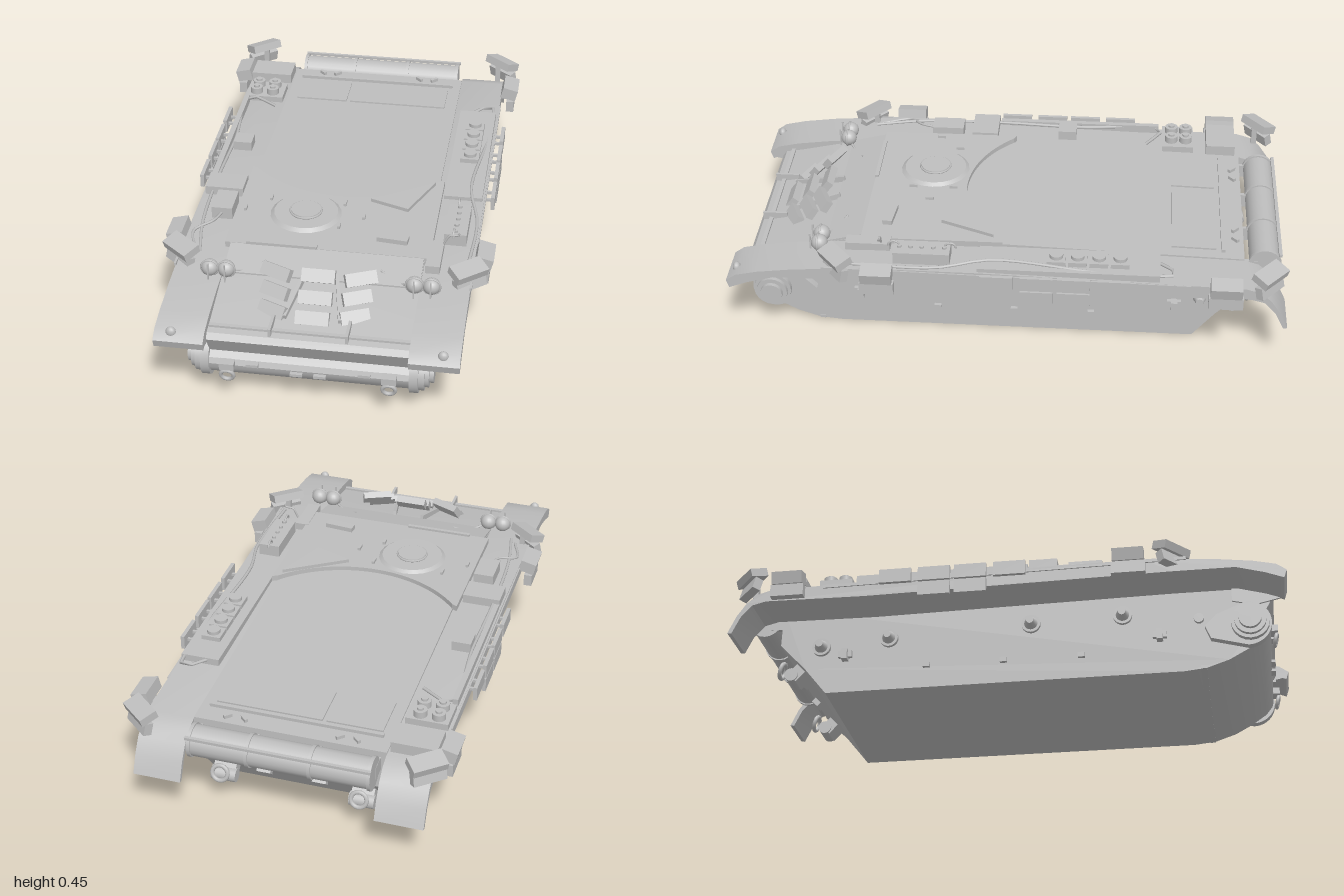
import * as THREE from 'three';
import { toCreasedNormals } from 'three/addons/utils/BufferGeometryUtils.js';

export function createModel() {
  const model = new THREE.Group();
  model.name = 'trackedHull';
  const steel = new THREE.MeshStandardMaterial({ color: 0xbebebe });
  steel.name = 'plain grey steel';

  const add = (name, geo, x = 0, y = 0, z = 0, rx = 0, ry = 0, rz = 0) => {
    const m = new THREE.Mesh(geo, steel);
    m.name = name;
    m.position.set(x, y, z);
    m.rotation.set(rx, ry, rz, 'YXZ');
    model.add(m);
    return m;
  };
  const box = (name, w, h, d, ...pose) => add(name, new THREE.BoxGeometry(w, h, d), ...pose);
  const cyl = (name, r0, r1, h, ...pose) => add(name, new THREE.CylinderGeometry(r0, r1, h, 20), ...pose);
  // side profile of [z, y] points, extruded across x
  const acrossX = (name, pts, x0, x1) => {
    const shape = new THREE.Shape(pts.map(([z, y]) => new THREE.Vector2(z, y)));
    const g = new THREE.ExtrudeGeometry(shape, { depth: x1 - x0, bevelEnabled: false });
    g.rotateY(-Math.PI / 2).translate(x1, 0, 0);
    return add(name, toCreasedNormals(g, 0.5));
  };
  // plan shape drawn in (x, -z), extruded upward
  const upward = (name, shape, h, y, rx = 0) => {
    const g = new THREE.ExtrudeGeometry(shape, { depth: h, bevelEnabled: false, curveSegments: 24 });
    return add(name, g.rotateX(-Math.PI / 2), 0, y, 0, rx);
  };
  const tube = (name, pts, r) => add(name, new THREE.TubeGeometry(
    new THREE.CatmullRomCurve3(pts.map(p => new THREE.Vector3(...p))), 24, r, 6));
  const bothSides = fn => [1, -1].forEach(fn);

  // Main body: belly, rounded nose, glacis, engine deck and sloped stern
  acrossX('hull', [[-0.67, 0], [0.62, 0], [0.7, 0.008], [0.78, 0.035], [0.85, 0.073], [0.9, 0.108],
    [0.925, 0.14], [0.93, 0.16], [0.922, 0.18], [0.9, 0.197], [0.905, 0.2], [0.945, 0.27], [0.93, 0.29],
    [0.87, 0.3], [0.53, 0.376], [0.4, 0.378], [0.1, 0.372], [-0.84, 0.347], [-0.845, 0.2], [-0.75, 0.1]], -0.342, 0.342);
  box('noseLowerStrip', 0.69, 0.012, 0.02, 0, 0.012, 0.69);
  box('bowRail', 0.68, 0.008, 0.015, 0, 0.3, 0.9);
  acrossX('glacisUpperPlate', [[0.53, 0.368], [0.66, 0.345], [0.66, 0.353], [0.53, 0.386]], -0.34, 0.34);

  // Raised fighting deck with the turret ring arc cut from its rear
  const front = new THREE.Shape();
  front.moveTo(-0.36, -0.53);
  front.lineTo(0.36, -0.53);
  front.lineTo(0.36, -0.02);
  const a = Math.asin(0.34 / 0.46);
  front.absarc(0, 0.28, 0.46, -Math.PI / 2 + a, -Math.PI / 2 - a, true);
  front.lineTo(-0.36, -0.02);
  upward('frontDeck', front, 0.022, 0.368, 0.005);

  // Fender sponsons with front lips and curved rear mudguards
  bothSides(s => {
    acrossX(s > 0 ? 'leftSponson' : 'rightSponson', [[0.985, 0.255], [0.995, 0.285], [0.96, 0.31], [0.88, 0.328],
      [0.75, 0.345], [0.5, 0.362], [0.1, 0.362], [-0.84, 0.342], [-0.89, 0.328], [-0.93, 0.295], [-0.965, 0.245],
      [-0.995, 0.18], [-0.98, 0.178], [-0.95, 0.24], [-0.91, 0.285], [-0.86, 0.298], [-0.5, 0.293], [0.6, 0.308],
      [0.82, 0.308], [0.92, 0.28]], s > 0 ? 0.342 : -0.512, s > 0 ? 0.512 : -0.342);
    acrossX('fenderInnerGusset', [[0.97, 0.26], [0.97, 0.3], [0.8, 0.31], [0.8, 0.26], [0.88, 0.24]],
      s > 0 ? 0.342 : -0.35, s > 0 ? 0.35 : -0.342);
    box('fenderEdge', 0.008, 0.012, 1.3, s * 0.513, 0.348, 0, -0.012);
    const lamp = add('positionLamp', new THREE.SphereGeometry(0.018, 12, 8), s * 0.455, 0.305, 0.965);
    lamp.scale.set(1, 1.1, 0.8);

    // Final drive: teardrop housing and stepped hub
    acrossX('finalDriveHousing', Array.from({ length: 25 }, (_, i) => {
      const t = -Math.PI / 2 + i / 24 * Math.PI;
      return [0.85 + 0.085 * Math.cos(t), 0.16 + 0.085 * Math.sin(t)];
    }).concat([[0.74, 0.2], [0.7, 0.16], [0.72, 0.11]]), s > 0 ? 0.34 : -0.37, s > 0 ? 0.37 : -0.34);
    [[0.068, 0.39], [0.056, 0.405], [0.04, 0.42]].forEach(([r, x]) =>
      cyl('finalDriveHub', r, r, 0.05, s * (x - 0.025), 0.16, 0.86, 0, 0, Math.PI / 2));

    // Running gear mounts
    [[0.41, 0.23], [0.08, 0.22], [-0.44, 0.2], [-0.69, 0.18]].forEach(([z, y]) => {
      cyl('bumpStopBase', 0.034, 0.034, 0.02, s * 0.345, y, z, 0, 0, Math.PI / 2);
      cyl('bumpStopCone', 0.013, 0.028, 0.04, s * 0.365, y, z, 0, 0, -s * Math.PI / 2);
    });
    cyl('rollerMount', 0.018, 0.018, 0.02, s * 0.345, 0.2, 0.68, 0, 0, Math.PI / 2);
    [0.54, -0.6].forEach(z => {
      box('damperMount', 0.02, 0.025, 0.05, s * 0.348, 0.145, z);
      box('damperLug', 0.035, 0.04, 0.022, s * 0.355, 0.14, z);
    });
    [0.26, -0.02, -0.3].forEach(z => box('sideLug', 0.018, 0.018, 0.025, s * 0.347, 0.085, z));

    // Tow shackles, bow and stern
    box('bowHook', 0.05, 0.025, 0.04, s * 0.275, 0.168, 0.935);
    add('bowShackle', new THREE.TorusGeometry(0.022, 0.007, 8, 16), s * 0.275, 0.13, 0.945, 0.25);
    box('sternHookBase', 0.08, 0.07, 0.045, s * 0.25, 0.12, -0.79, 0.75);
    cyl('sternHookPin', 0.025, 0.025, 0.09, s * 0.25, 0.105, -0.815, 0, 0, Math.PI / 2);
    add('sternShackle', new THREE.TorusGeometry(0.028, 0.008, 8, 16), s * 0.25, 0.14, -0.86, 0.3);

    // Stacked armour tiles at the corners and flanks
    [[0.6, s * 0.7], [-0.92, Math.PI - s * 0.7]].forEach(([z, ry]) => {
      box('cornerTileLower', 0.12, 0.045, 0.03, s * 0.505, 0.352, z, -0.25, ry);
      box('cornerTileUpper', 0.125, 0.03, 0.065, s * 0.5, 0.4, z, 0.3, ry);
      box('cornerTilePost', 0.02, 0.07, 0.02, s * 0.485, 0.36, z - Math.sign(z) * 0.015);
    });
    [0.45, -0.77].forEach(z => {
      box('flankTileLower', 0.03, 0.045, 0.12, s * 0.55, 0.312, z);
      box('flankTileUpper', 0.06, 0.045, 0.11, s * 0.545, 0.365, z, 0, 0, -s * 0.25);
      box('flankTileArm', 0.05, 0.015, 0.03, s * 0.52, 0.33, z);
    });
    [0.03, -0.11, -0.24, -0.38].forEach((z, i) => {
      box('sidePlateUpper', 0.014, 0.052, 0.115, s * 0.543, 0.348, z);
      if (i === 1 || i === 2) box('sidePlateLower', 0.014, 0.052, 0.115, s * 0.543, 0.29, z);
      [-0.025, 0.025].forEach(dz => box('sidePlateArm', 0.04, 0.01, 0.01, s * 0.522, 0.345, z + dz));
    });

    // Headlight pairs with guards
    [0.325, 0.383].forEach(x => {
      add('headlight', new THREE.SphereGeometry(0.03, 18, 12), s * x, 0.376, 0.675);
      add('headlightRim', new THREE.TorusGeometry(0.03, 0.004, 6, 20), s * x, 0.376, 0.68);
      box('headlightGuard', 0.005, 0.07, 0.006, s * x, 0.376, 0.708);
      cyl('headlightPost', 0.01, 0.01, 0.05, s * x, 0.345, 0.67);
    });
    tube('headlightCable', [[s * 0.3, 0.36, 0.66], [s * 0.25, 0.35, 0.63], [s * 0.2, 0.37, 0.6]], 0.004);

    // Glacis armour tiles fanned either side of the centre stack
    [[0.145, 0.398, 0.7, 0.11], [0.14, 0.358, 0.755, 0.1], [0.14, 0.318, 0.81, 0.1]].forEach(([x, y, z, w]) =>
      box('glacisTile', w, 0.045, 0.026, s * x, y, z, -0.65, s * 0.42));
    box('glacisTileBracket', 0.012, 0.025, 0.2, s * 0.075, 0.335, 0.745, 0.25, s * 0.2);
    box('bowBracket', 0.01, 0.03, 0.09, s * 0.13, 0.308, 0.885);
    [0.19, 0.04].forEach(x => box('bowStep', 0.042, 0.01, 0.025, s * x, x > 0.1 ? 0.172 : 0.15, 0.93));
  });
  [[0.395, 0.7], [0.353, 0.77], [0.315, 0.835]].forEach(([y, z]) =>
    box('glacisTile', 0.115, 0.046, 0.028, 0, y, z, -0.65));

  // Driver's hatch and deck fittings
  cyl('hatchPlinth', 0.115, 0.13, 0.012, -0.11, 0.393, 0.31);
  cyl('hatchLid', 0.054, 0.056, 0.012, -0.11, 0.402, 0.31);
  add('hatchSeal', new THREE.TorusGeometry(0.056, 0.004, 6, 28), -0.11, 0.402, 0.31, Math.PI / 2);
  box('hatchPeriscope', 0.11, 0.02, 0.035, 0.22, 0.395, 0.44, 0, -0.1);
  box('deckTool', 0.25, 0.012, 0.014, -0.16, 0.39, 0.525);
  const wedge = new THREE.Shape([[0.11, -0.2], [0.25, -0.25], [0.33, -0.055]].map(p => new THREE.Vector2(...p)));
  upward('triangularCover', wedge, 0.014, 0.388);
  [[-0.33, 0.31], [0.02, 0.23], [0.02, 0.38], [0.1, 0.31], [-0.25, 0.23]].forEach(([x, z]) =>
    box('deckLug', 0.01, 0.014, 0.03, x, 0.392, z));

  // Engine deck: access panels and rear hinge bar
  box('engineDeckPanel', 0.38, 0.006, 0.16, 0.105, 0.355, -0.66, -0.026);
  box('engineDeckPanel', 0.2, 0.006, 0.16, -0.2, 0.355, -0.66, -0.026);
  box('hingeBar', 0.62, 0.012, 0.014, 0, 0.357, -0.765);
  [-0.2, 0.2].forEach(x => [-0.03, 0.03].forEach(d =>
    box('deckHinge', 0.03, 0.012, 0.012, x + d, 0.355, -0.81, 0, d * 25)));

  // Stowage on the model's right fender (-x)
  box('rearStowageBox', 0.16, 0.045, 0.11, -0.43, 0.36, -0.77);
  box('launcherTray', 0.15, 0.025, 0.12, -0.43, 0.358, -0.605);
  [-0.465, -0.4].forEach(x => [-0.635, -0.58].forEach(z => {
    cyl('canister', 0.024, 0.024, 0.03, x, 0.38, z);
    cyl('canisterCap', 0.012, 0.012, 0.01, x, 0.398, z);
  }));
  box('smallFenderBox', 0.07, 0.04, 0.07, -0.435, 0.372, -0.175);
  box('midStowageBox', 0.14, 0.04, 0.1, -0.435, 0.375, 0.145);
  box('toolBox', 0.075, 0.045, 0.12, -0.41, 0.385, 0.29);
  box('sideRail', 0.02, 0.03, 0.62, -0.495, 0.365, -0.22);
  tube('towCable', [[-0.37, 0.368, -0.48], [-0.48, 0.37, -0.54], [-0.475, 0.37, -0.2], [-0.48, 0.375, 0.1],
    [-0.47, 0.375, 0.4], [-0.44, 0.37, 0.58]], 0.006);
  tube('fenderConduit', [[-0.41, 0.385, 0.34], [-0.43, 0.385, 0.4], [-0.49, 0.37, 0.45], [-0.46, 0.365, 0.56]], 0.005);

  // Stowage on the model's left fender (+x)
  box('longStowageBin', 0.14, 0.026, 0.64, 0.435, 0.363, -0.22);
  [-0.4, -0.325, -0.25, -0.175].forEach(z => {
    box('dischargerBase', 0.07, 0.022, 0.066, 0.435, 0.382, z);
    cyl('dischargerCup', 0.024, 0.024, 0.02, 0.435, 0.396, z);
  });
  box('batteryBox', 0.08, 0.045, 0.2, 0.435, 0.385, 0.3);
  [0.22, 0.26, 0.3, 0.34, 0.38].forEach(z => cyl('batteryBolt', 0.008, 0.008, 0.012, 0.435, 0.41, z));
  [0.2, 0.4].forEach(z => add('liftingLoop', new THREE.TorusGeometry(0.02, 0.004, 6, 14, Math.PI), 0.43, 0.408, z, 0, Math.PI / 2));
  box('fenderTool', 0.05, 0.03, 0.16, 0.375, 0.375, 0.5);
  tube('rightHandCable', [[0.38, 0.365, -0.5], [0.48, 0.37, -0.6], [0.49, 0.37, -0.35], [0.46, 0.385, 0.05],
    [0.5, 0.37, 0.25], [0.49, 0.365, 0.55]], 0.006);
  tube('antennaLoop', [[0.4, 0.4, 0.45], [0.42, 0.435, 0.45], [0.45, 0.44, 0.45], [0.455, 0.45, 0.45]], 0.004);

  // Stern roll: long drum with straps, end caps and brackets
  cyl('sternDrum', 0.055, 0.055, 0.63, 0, 0.312, -0.915, 0, 0, Math.PI / 2);
  [-0.315, -0.11, 0.11, 0.315].forEach(x => {
    cyl('drumStrap', 0.06, 0.06, 0.012, x, 0.312, -0.915, 0, 0, Math.PI / 2);
    box('drumBracket', 0.014, 0.05, 0.08, x, 0.3, -0.86);
  });
  box('drumRail', 0.65, 0.01, 0.012, 0, 0.355, -0.968);
  [-0.1, 0.1].forEach(x => box('sternLug', 0.05, 0.03, 0.03, x, 0.16, -0.815, 0.75));

  return model;
}
